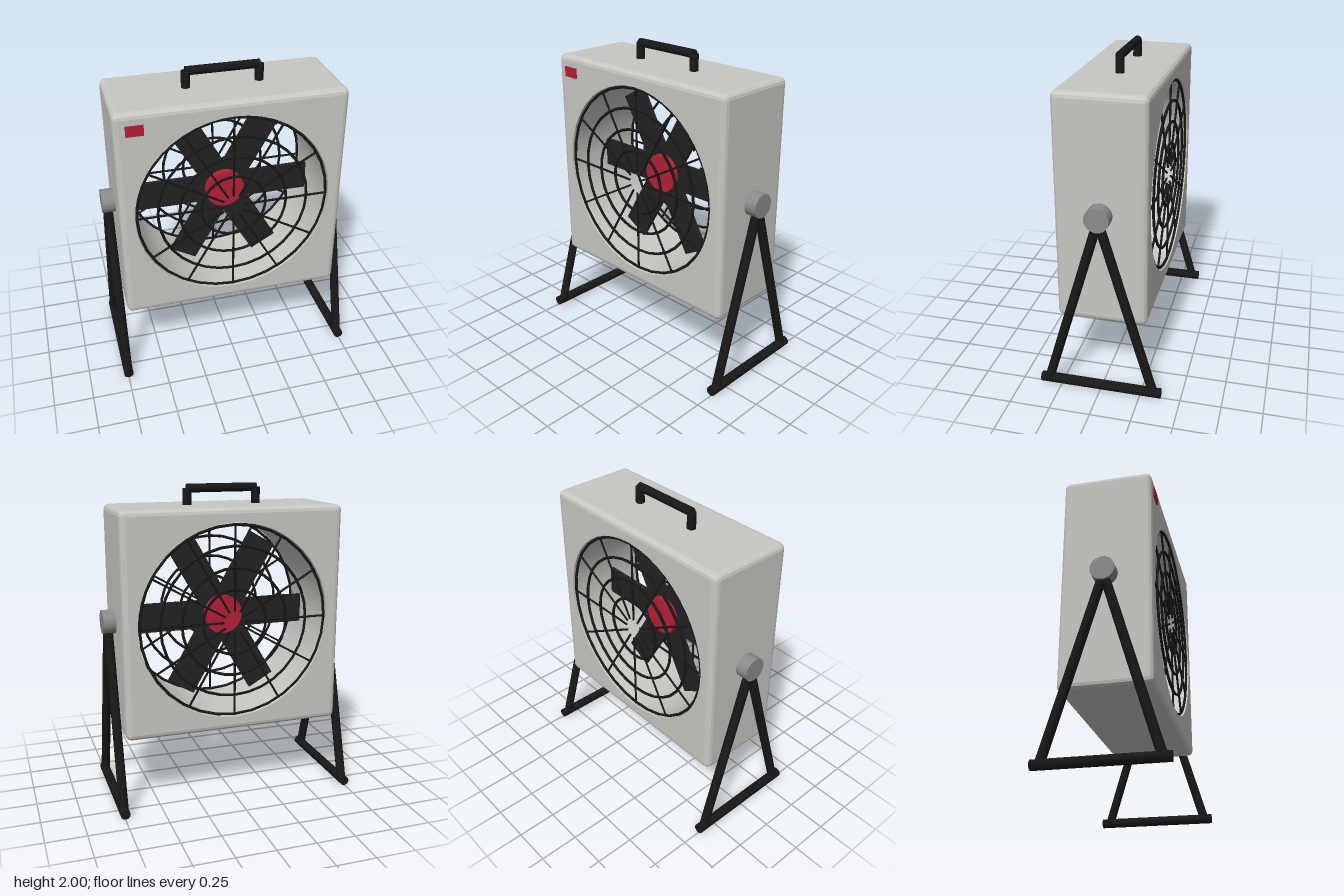
import * as THREE from 'three';

const CY = 1.167;      // height of the fan axis
const HALF = 0.705;    // half width of the housing
const DEPTH = 0.277;   // half depth of the housing
const ROUND = 0.035;   // edge rounding
const HOLE = 0.616;    // duct radius

const material = (name, color, extra = {}) => {
  const m = new THREE.MeshStandardMaterial({ color, ...extra });
  m.name = name;
  return m;
};

export function createModel() {
  const model = new THREE.Group();
  model.name = 'boxFan';

  const shell = material('lightGreyShell', 0xc9c7c3, { side: THREE.DoubleSide });
  const black = material('blackMetal', 0x181818);
  const blade = material('charcoalBlade', 0x222222);
  const red = material('redAccent', 0xb32035);
  const grey = material('greyKnob', 0x8b8b8d);

  const add = (parent, name, geometry, mat, x = 0, y = 0, z = 0) => {
    const mesh = new THREE.Mesh(geometry, mat);
    mesh.name = name;
    mesh.position.set(x, y, z);
    parent.add(mesh);
    return mesh;
  };

  // Round bar between two points
  const bar = (parent, name, a, b, radius, sides, mat) => {
    const from = new THREE.Vector3(...a), to = new THREE.Vector3(...b);
    const dir = to.clone().sub(from);
    const mesh = add(parent, name, new THREE.CylinderGeometry(radius, radius, dir.length(), sides), mat);
    mesh.position.copy(from).add(to).multiplyScalar(0.5);
    mesh.quaternion.setFromUnitVectors(new THREE.Vector3(0, 1, 0), dir.normalize());
    return mesh;
  };

  // Housing: rounded side walls from square loops stacked along z
  const housing = new THREE.Group();
  housing.name = 'housing';
  housing.position.y = CY;
  model.add(housing);

  const STEPS = 3;
  const squareLoop = (inset, z) => {
    const r = ROUND - inset, c = HALF - ROUND, pts = [];
    for (let q = 0; q < 4; q++) {
      const sx = q === 0 || q === 3 ? 1 : -1, sy = q < 2 ? 1 : -1;
      for (let s = 0; s <= STEPS; s++) {
        const a = (q + s / STEPS) * Math.PI / 2;
        pts.push([sx * c + r * Math.cos(a), sy * c + r * Math.sin(a), z]);
      }
    }
    return pts;
  };
  const loops = [];
  for (const side of [-1, 1]) {
    for (let s = 0; s <= STEPS; s++) {
      const a = (side < 0 ? s : STEPS - s) / STEPS * Math.PI / 2;
      loops.push(squareLoop(ROUND * (1 - Math.sin(a)), side * (DEPTH - ROUND + ROUND * Math.cos(a))));
    }
  }
  const n = loops[0].length, index = [];
  for (let i = 0; i < loops.length - 1; i++) {
    for (let j = 0; j < n; j++) {
      const k = (j + 1) % n;
      const a = i * n + j, b = i * n + k, c = a + n, d = b + n;
      index.push(a, b, d, a, d, c);
    }
  }
  const indexed = new THREE.BufferGeometry();
  indexed.setAttribute('position', new THREE.Float32BufferAttribute(loops.flat(2), 3));
  indexed.setIndex(index);
  const walls = indexed.toNonIndexed();
  walls.computeVertexNormals();
  add(housing, 'housingWalls', walls, shell);

  // Front and back panels with the round opening
  const f = HALF - ROUND;
  const panel = new THREE.Shape([[-f, -f], [f, -f], [f, f], [-f, f]].map(p => new THREE.Vector2(...p)));
  panel.holes.push(new THREE.Path().absarc(0, 0, HOLE, 0, Math.PI * 2, true));
  const panelGeo = new THREE.ShapeGeometry(panel, 48);
  add(housing, 'frontPanel', panelGeo, shell, 0, 0, DEPTH);
  add(housing, 'backPanel', panelGeo, shell, 0, 0, -DEPTH).rotation.y = Math.PI;

  // Round air duct through the housing
  const duct = new THREE.CylinderGeometry(HOLE, HOLE, DEPTH * 2, 48, 1, true);
  add(housing, 'duct', duct, shell).rotation.x = Math.PI / 2;

  // Guards: concentric rings and twelve spokes on both sides
  for (const side of [-1, 1]) {
    const guard = new THREE.Group();
    guard.name = side > 0 ? 'frontGuard' : 'backGuard';
    guard.position.set(0, CY, side * 0.262);
    for (const r of [0.205, 0.34, 0.475, 0.604]) {
      add(guard, 'guardRing', new THREE.TorusGeometry(r, 0.009, 6, 32), black);
    }
    for (let i = 0; i < 12; i++) {
      const a = i * Math.PI / 6, c = Math.cos(a), s = Math.sin(a);
      bar(guard, 'guardSpoke', [0.07 * c, 0.07 * s, 0], [0.61 * c, 0.61 * s, 0], 0.007, 6, black);
    }
    model.add(guard);
  }

  // Rotor: hub with six blades
  const rotor = new THREE.Group();
  rotor.name = 'rotor';
  rotor.position.set(0, CY, 0.01);
  model.add(rotor);
  add(rotor, 'hub', new THREE.CylinderGeometry(0.125, 0.125, 0.1, 24), red).rotation.x = Math.PI / 2;
  for (let i = 0; i < 6; i++) {
    const arm = new THREE.Group();
    arm.name = 'bladeArm';
    arm.rotation.z = i * Math.PI / 3;
    add(arm, 'blade', new THREE.BoxGeometry(0.455, 0.185, 0.025), blade, 0.3275, 0, 0);
    rotor.add(arm);
  }

  // Carry handle
  const handle = new THREE.Group();
  handle.name = 'handle';
  bar(handle, 'handleGrip', [-0.228, 1.973, 0], [0.228, 1.973, 0], 0.027, 12, black);
  for (const side of [-1, 1]) {
    bar(handle, 'handlePost', [side * 0.226, 1.86, 0], [side * 0.226, 1.973, 0], 0.028, 12, black);
  }
  model.add(handle);

  // Stands with pivot knobs
  for (const side of [-1, 1]) {
    const stand = new THREE.Group();
    stand.name = side > 0 ? 'leftStand' : 'rightStand';
    const x = side * 0.748;
    bar(stand, 'pivotKnob', [side * 0.7, CY, 0], [side * 0.785, CY, 0], 0.075, 24, grey);
    for (const z of [-1, 1]) {
      bar(stand, 'standLeg', [x, 1.15, 0], [x, 0.035, z * 0.33], 0.029, 12, black);
    }
    bar(stand, 'standFoot', [x, 0.031, -0.38], [x, 0.031, 0.38], 0.031, 12, black);
    model.add(stand);
  }

  // Red badge plate on the front
  add(model, 'badge', new THREE.BoxGeometry(0.105, 0.065, 0.009), red, -0.583, 1.768, DEPTH + 0.0045);

  return model;
}
